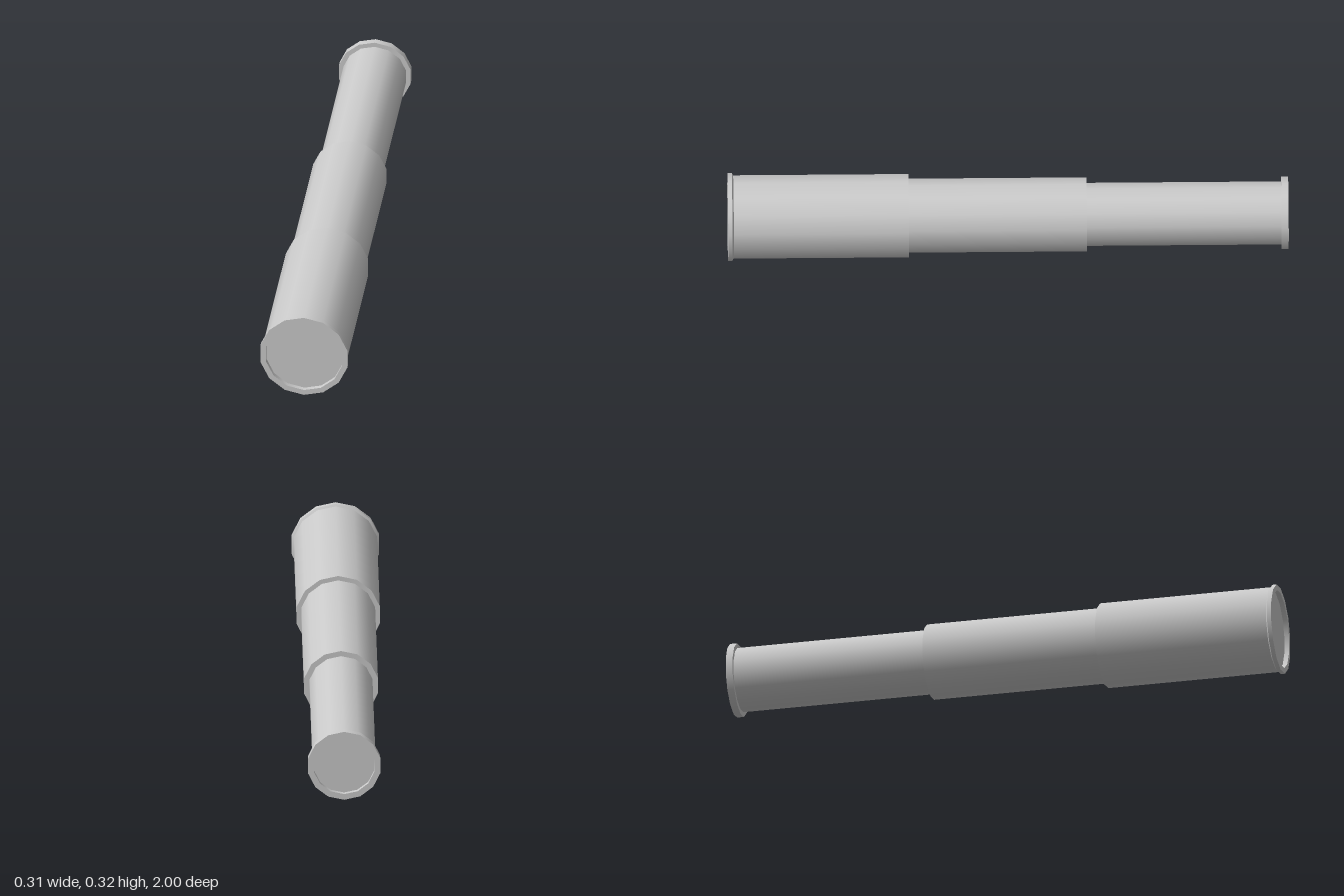
import * as THREE from 'three';

const SIDES = 14;
const AXIS_Y = 0.16;

export function createModel() {
  const model = new THREE.Group();
  model.name = 'telescope';
  const material = new THREE.MeshStandardMaterial({ color: 0xcccccc });

  // Turns a [radius, z] profile (back to front) about the z axis.
  // One lathe per band keeps the edges between bands sharp.
  function turned(name, profile) {
    const part = new THREE.Group();
    part.name = name;
    for (let i = 0; i < profile.length - 1; i++) {
      const points = [profile[i], profile[i + 1]].map(([r, z]) => new THREE.Vector2(r, z));
      const geometry = new THREE.LatheGeometry(points, SIDES);
      geometry.rotateX(Math.PI / 2);
      const band = new THREE.Mesh(geometry, material);
      band.name = name + 'Band';
      part.add(band);
    }
    part.position.y = AXIS_Y;
    model.add(part);
  }

  // Three nested draw tubes, each with a step facing the back
  turned('eyepieceTube', [[0.115, -0.975], [0.115, -0.28]]);
  turned('middleTube', [[0.115, -0.28], [0.135, -0.28], [0.135, 0.355]]);
  turned('mainTube', [[0.135, 0.355], [0.152, 0.355], [0.152, 0.98]]);

  // Raised end rims
  turned('eyepieceRim', [[0.11, -0.985], [0.11, -1], [0.132, -1], [0.132, -0.975], [0.115, -0.975]]);
  turned('objectiveRim', [[0.152, 0.98], [0.16, 0.985], [0.16, 1], [0.14, 1], [0.14, 0.983]]);

  // Flat lenses set back inside the rims
  turned('eyepieceLens', [[0, -0.985], [0.11, -0.985]]);
  turned('objectiveLens', [[0.14, 0.983], [0, 0.983]]);

  return model;
}
